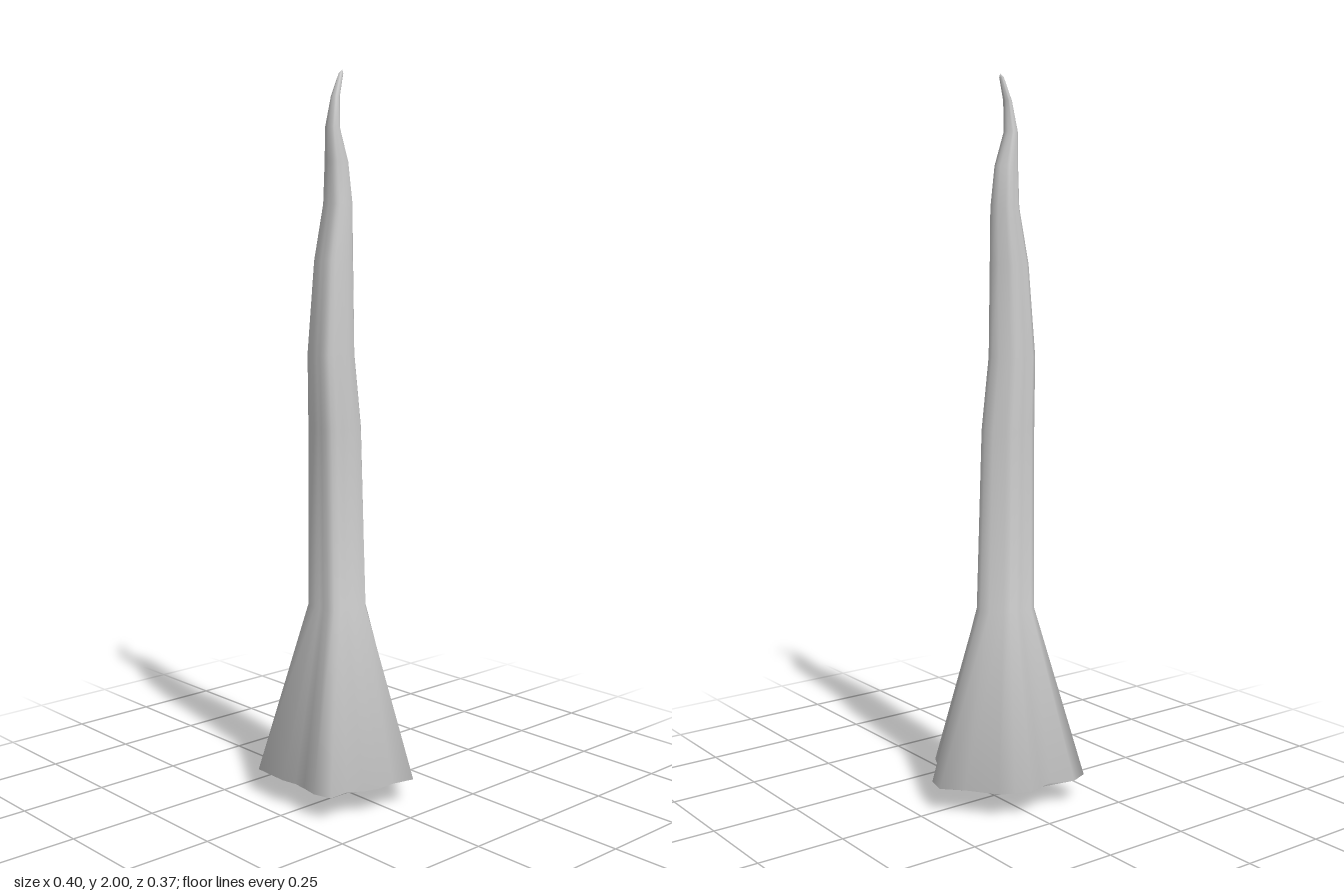
import * as THREE from 'three';

// Flared, five-lobed rim as [x, z], running from +x toward +z
const RIM = [
  [0.197, -0.012], [0.183, 0.045], [0.143, 0.093], [0.105, 0.128], [0.077, 0.185], [0.013, 0.17],
  [-0.038, 0.17], [-0.083, 0.157], [-0.12, 0.13], [-0.183, 0.133], [-0.198, 0.08], [-0.19, 0.03],
  [-0.187, -0.01], [-0.195, -0.055], [-0.191, -0.165], [-0.138, -0.187], [-0.077, -0.16],
  [-0.036, -0.168], [0.008, -0.18], [0.052, -0.163], [0.092, -0.142], [0.148, -0.062],
];

// Cross-sections up the spike: [y, left x, right x, half depth, centre z, roundness]
const SECTIONS = [
  [0.07, -0.198, 0.197, 0.186, -0.001, 0],
  [0.55, -0.095, 0.060, 0.072, -0.012, 0.35],
  [1.05, -0.100, 0.042, 0.064, -0.010, 0.4],
  [1.25, -0.105, 0.018, 0.058, -0.010, 0.4],
  [1.50, -0.088, 0.015, 0.048, -0.010, 0.5],
  [1.65, -0.060, 0.012, 0.040, -0.010, 0.6],
  [1.76, -0.061, 0.000, 0.031, -0.010, 0.7],
  [1.85, -0.063, -0.030, 0.022, -0.010, 0.8],
  [1.93, -0.048, -0.026, 0.013, -0.010, 1],
  [1.99, -0.024, -0.010, 0.005, -0.010, 1],
];

function spikeGeometry() {
  const n = RIM.length;
  const pos = [];
  const index = [];

  // Rings: the rim outline scaled to each section and eased toward an ellipse
  for (const [y, left, right, depth, cz, round] of SECTIONS) {
    for (const [x, z] of RIM) {
      const u = x / 0.1975, v = z / 0.186;
      const k = THREE.MathUtils.lerp(1, 1 / Math.hypot(u, v), round);
      pos.push((left + right) / 2 + u * k * (right - left) / 2, y, cz + v * k * depth);
    }
  }
  const bottom = pos.length / 3;
  pos.push(-0.04, 0, -0.01);
  const tip = bottom + 1;
  pos.push(-0.012, 2, -0.01);

  // Walls between rings, then the shallow cone below and the point above
  const last = (SECTIONS.length - 1) * n;
  for (let i = 0; i < n; i++) {
    const j = (i + 1) % n;
    for (let r = 0; r < last; r += n) {
      index.push(r + i, r + n + i, r + j, r + j, r + n + i, r + n + j);
    }
    index.push(bottom, i, j);
    index.push(last + i, tip, last + j);
  }

  const geometry = new THREE.BufferGeometry();
  geometry.setAttribute('position', new THREE.Float32BufferAttribute(pos, 3));
  geometry.setIndex(index);
  geometry.computeVertexNormals();
  return geometry;
}

export function createModel() {
  const group = new THREE.Group();
  group.name = 'curvedSpike';
  const spike = new THREE.Mesh(spikeGeometry(), new THREE.MeshStandardMaterial({ color: 0xcccccc }));
  spike.name = 'spike';
  group.add(spike);
  return group;
}
